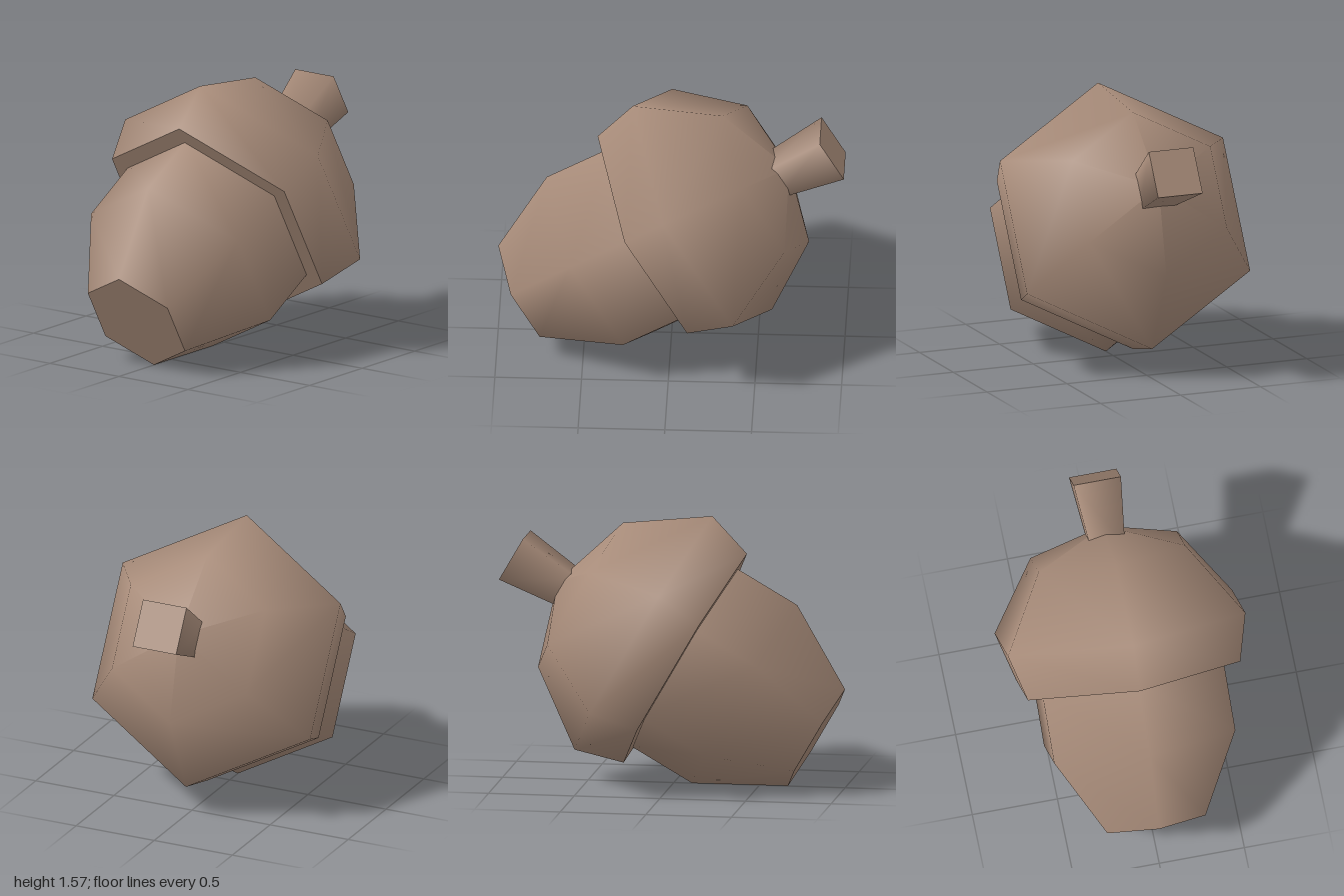
import * as THREE from 'three';

const shellMaterial = new THREE.MeshStandardMaterial({ color: 0xa78b79 });
shellMaterial.name = 'acornBrown';

// Revolved part: each run of [radius, height] points is smooth, and runs meet at sharp edges.
function turned(name, sides, phase, ...runs) {
  const part = new THREE.Group();
  part.name = name;
  runs.forEach((run, i) => {
    const points = run.map(([r, h]) => new THREE.Vector2(r, h));
    const mesh = new THREE.Mesh(new THREE.LatheGeometry(points, sides, phase), shellMaterial);
    mesh.name = `${name}Surface${i + 1}`;
    part.add(mesh);
  });
  return part;
}

export function createModel() {
  const acorn = new THREE.Group();
  acorn.name = 'acorn';

  // Six-sided nut with a flat end
  acorn.add(turned('nut', 6, Math.PI / 2,
    [[0, -0.885], [0.333, -0.885]],
    [[0.333, -0.885], [0.614, -0.4], [0.614, 0.02]]));

  // Wider cap with a flat underside
  acorn.add(turned('cap', 6, Math.PI / 2,
    [[0, 0], [0.72, 0]],
    [[0.72, 0], [0.805, 0.282], [0.497, 0.706], [0, 0.86]]));

  // Square stem, flaring outwards
  const diagonal = Math.SQRT2;
  acorn.add(turned('stem', 4, Math.PI / 4,
    [[0.099 * diagonal, 0.75], [0.139 * diagonal, 1.15]],
    [[0.139 * diagonal, 1.15], [0, 1.15]]));

  // Lean the whole acorn over on its side
  acorn.rotation.z = -Math.PI / 3;
  acorn.position.set(-0.067, 0.732, 0);

  const model = new THREE.Group();
  model.name = 'model';
  model.add(acorn);
  return model;
}
